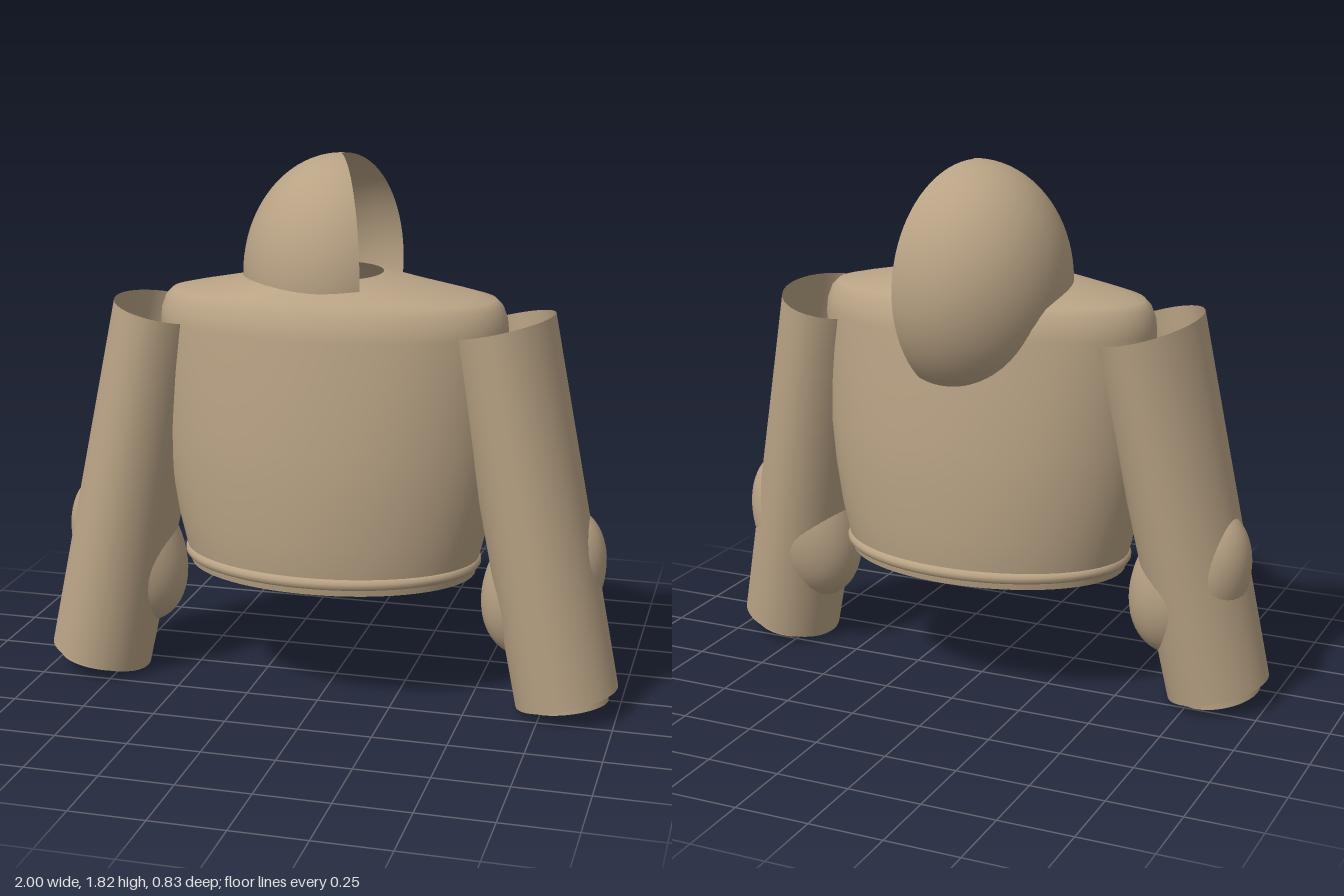
import * as THREE from 'three';

const SEG = 64;

// Smooth surface through elliptical rings listed from bottom to top.
// Ring: [x, y, z, radiusX, radiusZ, slopeX, slopeZ]
function loft(rings, capped = false) {
  const pos = [], index = [];
  for (const [cx, cy, cz, rx, rz, sx = 0, sz = 0] of rings) {
    for (let j = 0; j < SEG; j++) {
      const a = (j / SEG) * Math.PI * 2;
      const dx = rx * Math.cos(a), dz = rz * Math.sin(a);
      pos.push(cx + dx, cy + sx * dx + sz * dz, cz + dz);
    }
  }
  for (let i = 0; i < rings.length - 1; i++) {
    for (let j = 0; j < SEG; j++) {
      const k = (j + 1) % SEG;
      const a = i * SEG + j, b = i * SEG + k, c = a + SEG, d = b + SEG;
      index.push(a, c, b, b, c, d);
    }
  }
  if (capped) {
    // flat ends with their own vertices so the rims stay sharp
    [0, rings.length - 1].forEach((i, end) => {
      const start = pos.length / 3;
      pos.push(...pos.slice(i * SEG * 3, (i + 1) * SEG * 3));
      for (let j = 1; j < SEG - 1; j++) {
        if (end) index.push(start, start + j + 1, start + j);
        else index.push(start, start + j, start + j + 1);
      }
    });
  }
  const g = new THREE.BufferGeometry();
  g.setAttribute('position', new THREE.Float32BufferAttribute(pos, 3));
  g.setIndex(index);
  g.computeVertexNormals();
  return g;
}

// Rings evenly blended between two end rings
function between(a, b, steps) {
  return Array.from({ length: steps + 1 }, (_, i) =>
    a.map((v, k) => v + (b[k] - v) * (i / steps)));
}

export function createModel() {
  const model = new THREE.Group();
  model.name = 'hoodedJacket';
  const cloth = new THREE.MeshStandardMaterial({ color: 0xb8a284, side: THREE.DoubleSide });
  cloth.name = 'tanCloth';

  const add = (parent, name, geometry) => {
    const mesh = new THREE.Mesh(geometry, cloth);
    mesh.name = name;
    parent.add(mesh);
    return mesh;
  };

  // Body shell, open at the waist and neck: [y, radiusX, radiusZ]
  const body = [
    [0.43, 0.495, 0.34], [0.49, 0.508, 0.35], [0.6, 0.535, 0.36], [0.75, 0.56, 0.362],
    [0.9, 0.575, 0.36], [1.1, 0.586, 0.34], [1.27, 0.592, 0.322], [1.31, 0.588, 0.314],
    [1.35, 0.573, 0.295], [1.372, 0.55, 0.278], [1.385, 0.49, 0.262], [1.41, 0.35, 0.235],
    [1.43, 0.25, 0.21], [1.445, 0.17, 0.185],
  ];
  add(model, 'body', loft(body.map(([y, rx, rz]) => [0, y, 0.05, rx, rz])));

  // Rolled hem around the waist
  const hemPath = new THREE.CatmullRomCurve3(Array.from({ length: 40 }, (_, i) => {
    const a = (i / 40) * Math.PI * 2;
    return new THREE.Vector3(0.495 * Math.cos(a), 0.472, 0.05 + 0.345 * Math.sin(a));
  }), true);
  add(model, 'hem', new THREE.TubeGeometry(hemPath, 96, 0.02, 10, true));

  // Hood: ellipsoid shell with a wedge left open towards +x
  const half = THREE.MathUtils.degToRad(116);
  const hood = add(model, 'hood', new THREE.SphereGeometry(1, 48, 40, -half, half * 2));
  hood.scale.set(0.327, 0.4, 0.352);
  hood.position.set(0, 1.42, -0.066);

  // Sleeves, with elbow padding and a closed wrist
  for (const s of [1, -1]) {
    const arm = new THREE.Group();
    arm.name = s > 0 ? 'leftArm' : 'rightArm';
    model.add(arm);

    add(arm, 'sleeve', loft(between(
      [0.829 * s, 0.054, 0.118, 0.17, 0.177, 0.26 * s, 0.05],
      [0.575 * s, 1.295, 0.054, 0.17, 0.254, 0.235 * s, 0.05], 12)));

    add(arm, 'wrist', loft([
      [0.832 * s, 0.028, 0.125, 0.138, 0.14, 0.17 * s, 0.1],
      [0.805 * s, 0.16, 0.118, 0.138, 0.14, 0.2 * s, 0.1],
    ], true));

    const elbow = add(arm, 'elbow', new THREE.SphereGeometry(1, 40, 28));
    elbow.scale.set(0.19, 0.28, 0.165);
    elbow.rotation.z = -0.42 * s;
    elbow.position.set(0.733 * s, 0.435, 0.07);
  }
  return model;
}
